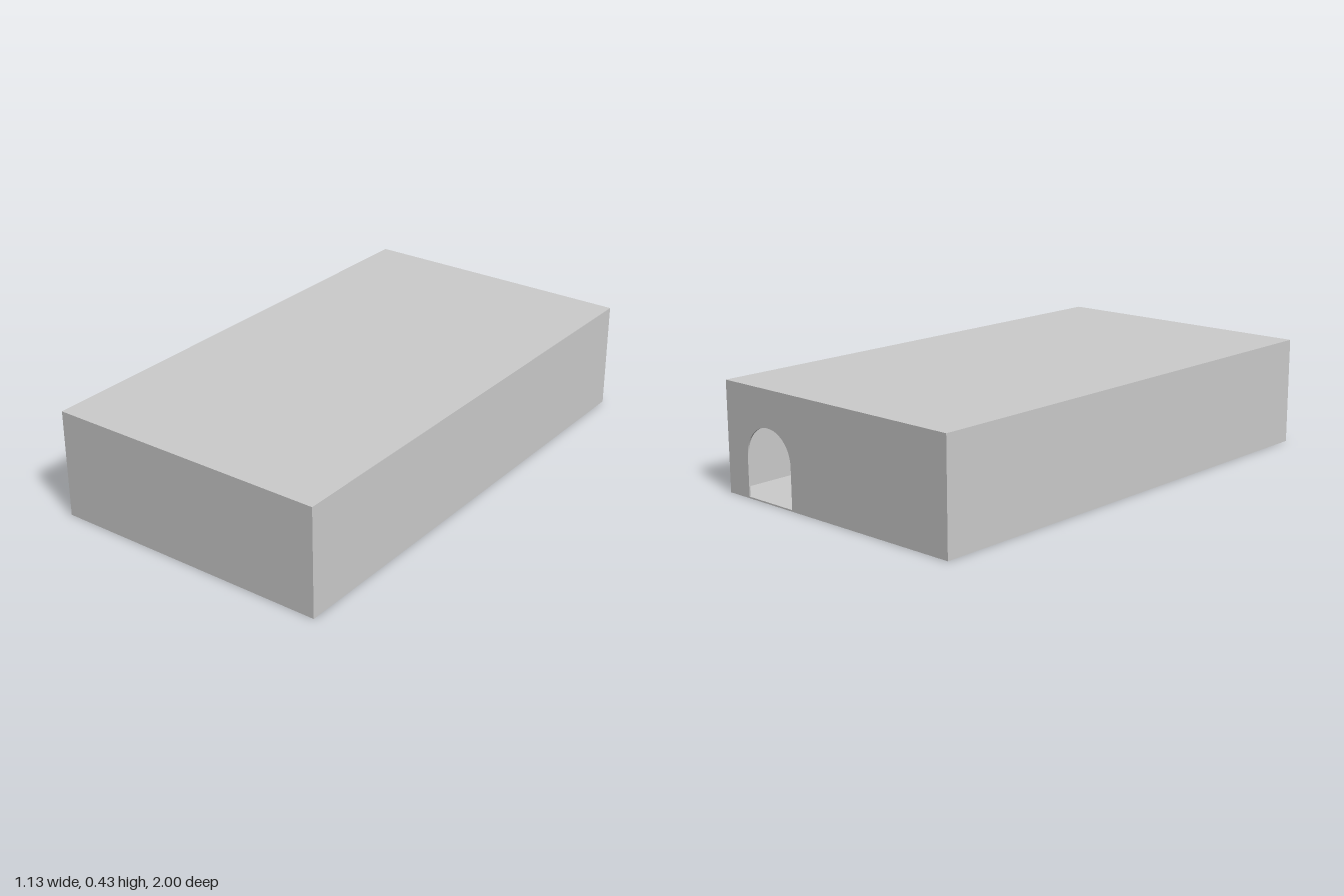
import * as THREE from 'three';

const W = 1.134, H = 0.43, L = 2; // outer size
const T = 0.006;                  // panel thickness

export function createModel() {
  const model = new THREE.Group();
  const material = new THREE.MeshStandardMaterial({ color: 0xcccccc, flatShading: true });

  const add = (name, geometry, x, y, z) => {
    const mesh = new THREE.Mesh(geometry, material);
    mesh.name = name;
    mesh.position.set(x, y, z);
    model.add(mesh);
  };

  // Floor and roof slabs
  add('floor', new THREE.BoxGeometry(W, T, L), 0, T / 2, 0);
  add('roof', new THREE.BoxGeometry(W, T, L), 0, H - T / 2, 0);

  // Long side walls and closed front wall, between the slabs
  const wallH = H - 2 * T;
  for (const [name, side] of [['leftWall', 1], ['rightWall', -1]]) {
    add(name, new THREE.BoxGeometry(T, wallH, L), side * (W - T) / 2, H / 2, 0);
  }
  add('frontWall', new THREE.BoxGeometry(W - 2 * T, wallH, T), 0, H / 2, (L - T) / 2);

  // Back wall with a round-arched doorway near its left end
  const doorX = 0.336, doorR = 0.121, springY = 0.165;
  const halfW = W / 2 - T;
  const wall = new THREE.Shape();
  wall.moveTo(-halfW, T);
  wall.lineTo(doorX - doorR, T);
  wall.lineTo(doorX - doorR, springY);
  wall.absarc(doorX, springY, doorR, Math.PI, 0, true);
  wall.lineTo(doorX + doorR, T);
  wall.lineTo(halfW, T);
  wall.lineTo(halfW, H - T);
  wall.lineTo(-halfW, H - T);
  wall.closePath();
  add('backWall', new THREE.ExtrudeGeometry(wall, { depth: T, bevelEnabled: false, curveSegments: 24 }), 0, 0, -L / 2);

  return model;
}
